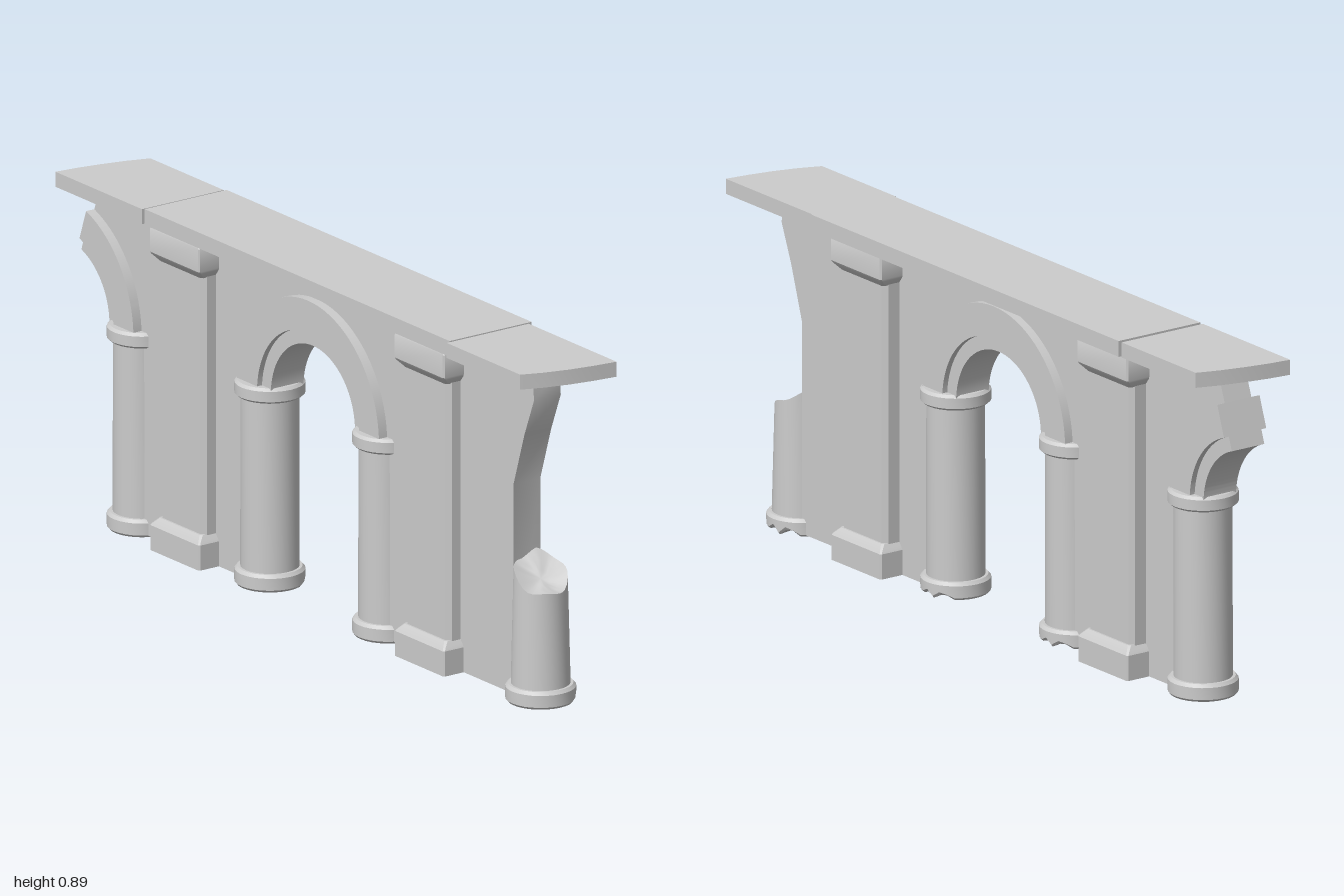
import * as THREE from 'three';
import { toCreasedNormals } from 'three/addons/utils/BufferGeometryUtils.js';

const SPRING = 0.515;            // height where the arches begin
const CUT = 1.232;               // angle where the ruined arch breaks off

const grey = new THREE.MeshStandardMaterial({ color: 0xcccccc, side: THREE.DoubleSide });

function mesh(name, geometry, x = 0, y = 0, z = 0) {
  const m = new THREE.Mesh(toCreasedNormals(geometry, 0.5), grey);
  m.name = name;
  m.position.set(x, y, z);
  return m;
}

// Extrude a front-view outline, centred in depth
function slab(shape, depth) {
  const g = new THREE.ExtrudeGeometry(shape, { depth, bevelEnabled: false, curveSegments: 20 });
  return g.translate(0, 0, -depth / 2);
}

// Stack of rectangles with cut corners: each section is [y, half width, half depth, corner cut]
function loft(sections) {
  const pos = [], index = [];
  for (const [y, a, b, c] of sections) {
    const ring = [[a, b - c], [a, c - b], [a - c, -b], [c - a, -b], [-a, c - b], [-a, b - c], [c - a, b], [a - c, b]];
    for (const [x, z] of ring) pos.push(x, y, z);
  }
  const n = sections.length;
  for (let s = 0; s < n - 1; s++) {
    for (let i = 0; i < 8; i++) {
      const a = s * 8 + i, b = s * 8 + (i + 1) % 8;
      index.push(a, b, b + 8, a, b + 8, a + 8);
    }
  }
  const t = (n - 1) * 8;
  for (let i = 1; i < 7; i++) index.push(0, i + 1, i, t, t + i, t + i + 1);
  const g = new THREE.BufferGeometry();
  g.setAttribute('position', new THREE.Float32BufferAttribute(pos, 3));
  g.setIndex(index);
  g.computeVertexNormals();
  return g;
}

function lathe(points, rule) {
  const g = new THREE.LatheGeometry(points.map(p => new THREE.Vector2(...p)), 28);
  if (rule) {
    const p = g.attributes.position;
    for (let i = 0; i < p.count; i++) p.setY(i, rule(p.getX(i), p.getY(i), p.getZ(i)));
    g.computeVertexNormals();
  }
  return g;
}

// Round base; the worn ones have a notched lower edge at the back
function columnBase(worn) {
  const rule = (x, y, z) => {
    if (y > 0.01 || z > -0.04) return y;
    return y + worn * (0.5 + 0.5 * Math.sin(x * 130 + 1));
  };
  return mesh('columnBase', lathe([[0, 0], [0.083, 0], [0.088, 0.006], [0.088, 0.037], [0.081, 0.045], [0, 0.045]], worn ? rule : null));
}

function column(x, worn) {
  const g = new THREE.Group();
  g.name = 'column';
  g.position.set(x, 0, 0.005);
  g.add(columnBase(worn));
  g.add(mesh('columnShaft', lathe([[0.0735, 0.04], [0.0725, 0.5]])));
  g.add(mesh('columnCapital', lathe([[0, 0.49], [0.081, 0.49], [0.088, 0.496], [0.088, 0.523], [0.081, 0.53], [0, 0.53]])));
  return g;
}

function brokenColumn(x) {
  const g = new THREE.Group();
  g.name = 'brokenColumn';
  g.position.set(x, 0, 0.005);
  g.add(columnBase(0.02));
  const r = 0.067;
  // Sloping, hollowed fracture on top
  const fracture = (px, y, pz) => {
    if (y < 0.2) return y;
    const d = Math.hypot(px, pz) / r;
    return 0.328 - 0.037 * px / r - 0.012 * pz / r - 0.015 * (1 - d * d) + 0.006 * d * Math.sin(4 * Math.atan2(pz, px));
  };
  g.add(mesh('brokenShaft', lathe([[0.074, 0.04], [r, 0.33], [0.045, 0.33], [0.022, 0.33], [0, 0.33]], fracture)));
  return g;
}

function pilaster(x) {
  const g = new THREE.Group();
  g.name = 'pilaster';
  g.position.x = x;
  g.add(mesh('pilasterBase', loft([[0.005, 0.103, 0.105, 0.004], [0.07, 0.103, 0.105, 0.004], [0.075, 0.1, 0.102, 0.004], [0.09, 0.088, 0.088, 0.006]])));
  g.add(mesh('pilasterShaft', loft([[0.08, 0.09, 0.083, 0.012], [0.77, 0.09, 0.083, 0.012]])));
  g.add(mesh('pilasterCapital', loft([[0.757, 0.088, 0.086, 0.006], [0.775, 0.102, 0.102, 0.004], [0.781, 0.104, 0.106, 0.004], [0.84, 0.104, 0.106, 0.004], [0.848, 0.1, 0.102, 0.004]])));
  return g;
}

function ring(inner, outer, end) {
  const s = new THREE.Shape();
  s.absarc(0, 0, outer, 0, end, false);
  s.absarc(0, 0, inner, end, 0, true);
  return s;
}

// Arch moulding of a wide band and a recessed inner band
function arch(x, end) {
  const g = new THREE.Group();
  g.name = 'arch';
  g.position.set(x, SPRING, 0.004);
  g.add(mesh('archBand', slab(ring(0.212, 0.295, end), 0.13)));
  g.add(mesh('archInnerBand', slab(ring(0.175, 0.213, end), 0.1)));
  return g;
}

// Cornice slab from a plan outline of [x, z] points
function cornice(name, plan, y, height) {
  const s = new THREE.Shape(plan.map(([x, z]) => new THREE.Vector2(x, -z)));
  const g = new THREE.ExtrudeGeometry(s, { depth: height, bevelEnabled: false });
  return mesh(name, g.rotateX(-Math.PI / 2), 0, y, 0);
}

export function createModel() {
  const model = new THREE.Group();
  model.name = 'ruinedArcade';

  // Wall with one full opening, a broken arch on one end and a ragged edge on the other
  const w = new THREE.Shape();
  w.moveTo(-0.84, 0.005);
  w.lineTo(-0.22, 0.005);
  w.lineTo(-0.22, SPRING);
  w.absarc(-0.02, SPRING, 0.2, Math.PI, 0, true);
  w.lineTo(0.18, 0.005);
  for (const [x, y] of [[0.8, 0.005], [0.8, 0.55], [0.845, 0.69], [0.885, 0.79], [0.88, 0.852], [-0.92, 0.852], [-0.943, 0.79]]) w.lineTo(x, y);
  w.absarc(-1.04, SPRING, 0.2, CUT, 0, true);
  w.lineTo(-0.84, 0.005);
  model.add(mesh('wall', slab(w, 0.082), 0, 0, 0.003));

  // Arches and their columns
  model.add(arch(-0.02, Math.PI), arch(-1.04, CUT));
  model.add(column(-0.795, 0), column(-0.265, 0.015), column(0.225, 0.015));
  model.add(brokenColumn(0.86));

  // Pilasters
  for (const x of [-0.527, 0.49]) model.add(pilaster(x));

  // Cornice in three pieces, the outer two with broken ends
  model.add(cornice('corniceLeftEnd', [[-0.64, -0.13], [-0.945, -0.13], [-0.965, -0.07], [-0.982, 0], [-0.993, 0.06], [-1, 0.12], [-0.64, 0.12]], 0.851, 0.039));
  model.add(cornice('corniceJoint', [[-0.65, -0.04], [-0.65, 0.04], [-0.62, 0.04], [-0.62, -0.04]], 0.853, 0.03));
  model.add(cornice('corniceMiddle', [[-0.632, -0.133], [-0.632, 0.118], [0.635, 0.118], [0.635, -0.133]], 0.851, 0.041));
  model.add(cornice('corniceRightEnd', [[0.635, -0.124], [0.635, 0.127], [0.94, 0.127], [0.962, 0.07], [0.98, 0.005], [0.992, -0.06], [1, -0.124]], 0.85, 0.039));

  return model;
}
